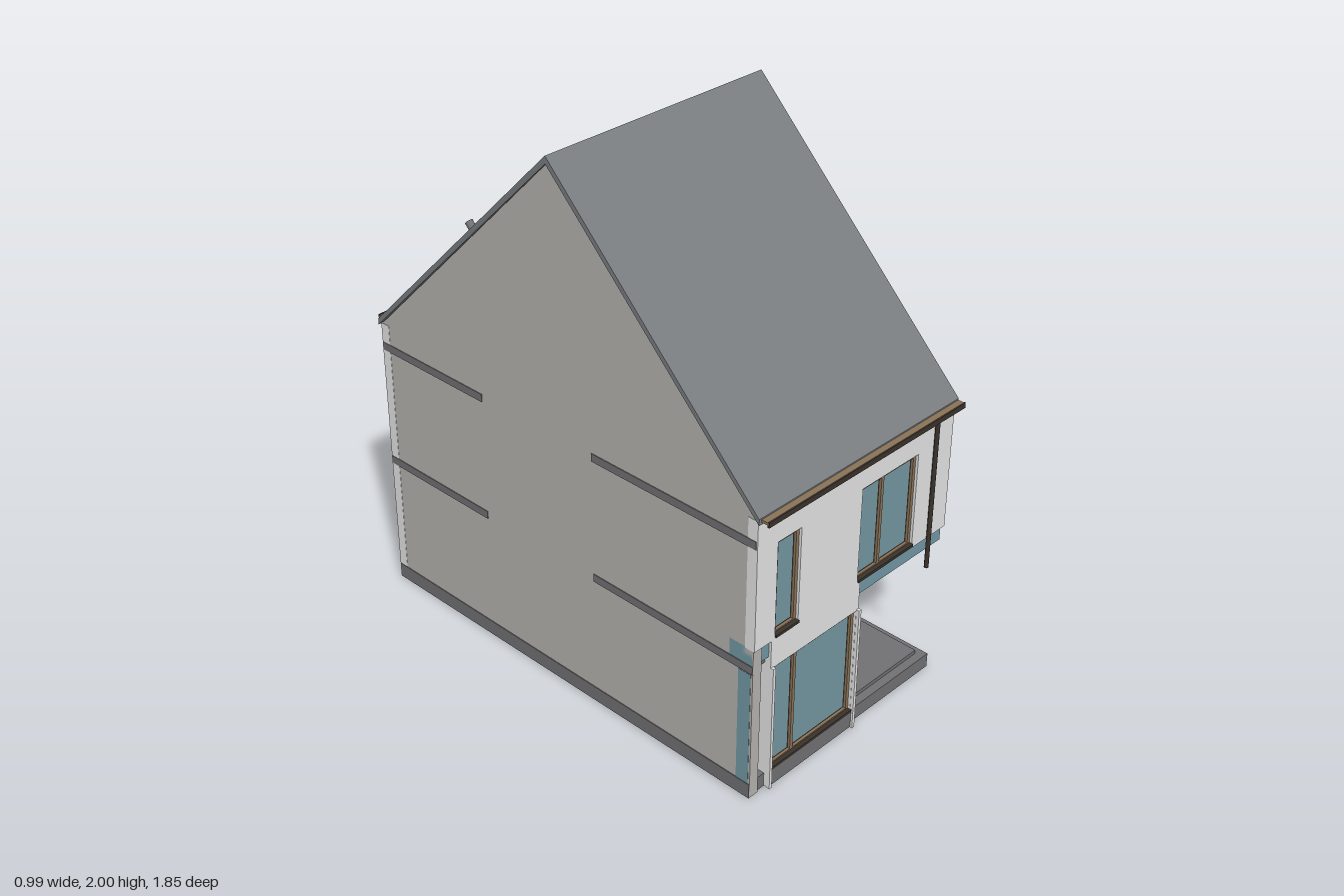
import * as THREE from 'three';

const mat = (name, color, side = THREE.FrontSide) => {
  const m = new THREE.MeshStandardMaterial({ color, side });
  m.name = name;
  return m;
};

export function createModel() {
  const M = {
    white: mat('white render', 0xe4e4e4),
    concrete: mat('pale concrete', 0xb5b3ae),
    slab: mat('slab grey', 0x717173),
    roof: mat('roof grey', 0x797d80),
    teal: mat('blue grey panel', 0x7297a4),
    glass: mat('window glass', 0x7396a1),
    brown: mat('bronze frame', 0x8a7358),
    dark: mat('dark trim', 0x3a322b),
    skylight: mat('skylight glass', 0x36413f),
  };
  const house = new THREE.Group();
  house.name = 'house';

  const add = (parent, name, geo, material) => {
    const m = new THREE.Mesh(geo, material);
    m.name = name;
    parent.add(m);
    return m;
  };
  // box given by its limits on each axis
  const box = (parent, name, material, x0, x1, y0, y1, z0, z1) => {
    const m = add(parent, name, new THREE.BoxGeometry(x1 - x0, y1 - y0, z1 - z0), material);
    m.position.set((x0 + x1) / 2, (y0 + y1) / 2, (z0 + z1) / 2);
    return m;
  };
  const poly = (pts) => new THREE.Shape(pts.map((p) => new THREE.Vector2(p[0], p[1])));
  const rect = (a, b, c, d) => [[a, c], [b, c], [b, d], [a, d]];

  // frame, glass, sill and optional mullion, set back in a wall opening
  const windowUnit = (parent, [a, b, c, d, split]) => {
    const g = new THREE.Group();
    g.name = 'window';
    parent.add(g);
    const t = 0.013;
    const frame = poly(rect(a, b, c, d));
    const edges = split === undefined ? [a, b] : [a, split, b];
    for (let i = 0; i + 1 < edges.length; i++) {
      const l = edges[i] + (i ? t / 2 : t);
      const r = edges[i + 1] - (i + 2 < edges.length ? t / 2 : t);
      frame.holes.push(poly(rect(l, r, c + t, d - t)));
      // slim dark casement line inside the frame
      const sash = poly(rect(l, r, c + t, d - t));
      sash.holes.push(poly(rect(l + 0.004, r - 0.004, c + t + 0.004, d - t - 0.004)));
      add(g, 'casementLine', new THREE.ShapeGeometry(sash), M.dark).position.z = -0.02;
    }
    const f = add(g, 'windowFrame', new THREE.ExtrudeGeometry(frame, { depth: 0.02, bevelEnabled: false }), M.brown);
    f.position.z = -0.03;
    box(g, 'windowGlass', M.glass, a + 0.004, b - 0.004, c + 0.004, d - 0.004, -0.03, -0.022);
    box(g, 'windowSill', M.dark, a, b, c - 0.002, c + 0.008, -0.03, 0.006);
  };

  // wall in its own plane: outward is local +z, with windows let in
  const T = 0.04;
  const facade = (name, angle, pos, outline, windows, material) => {
    const g = new THREE.Group();
    g.name = name;
    const s = poly(outline);
    windows.forEach((w) => s.holes.push(poly(rect(w[0], w[1], w[2], w[3]))));
    const geo = new THREE.ExtrudeGeometry(s, { depth: T, bevelEnabled: false });
    add(g, name + 'Surface', geo, material).position.z = -T;
    windows.forEach((w) => { if (!w[5]) windowUnit(g, w); });
    g.rotation.y = angle;
    g.position.set(...pos);
    house.add(g);
    return g;
  };

  // front wall, narrower at ground level
  const front = facade('frontWall', 0, [0, 0, 0.885],
    [[-0.41, 0.003], [0.025, 0.003], [0.025, 0.6], [0.475, 0.6], [0.475, 1.09], [-0.49, 1.09], [-0.49, 0.6], [-0.41, 0.6]],
    [[-0.395, -0.285, 0.61, 0.97], [0.01, 0.295, 0.61, 0.97, 0.125], [-0.395, 0.013, 0.07, 0.49, -0.28]], M.white);
  box(front, 'frontPlinth', M.slab, -0.4, 0.015, 0.003, 0.066, -0.01, 0.004);
  for (const x of [-0.41, 0.014]) box(front, 'frontFin', M.white, x, x + 0.012, 0, 0.495, 0, 0.012);

  // right wall with the open corner cut away
  const right = facade('rightWall', Math.PI / 2, [0.475, 0, 0],
    [[-0.885, 0.6], [-0.27, 0.6], [-0.27, 0.003], [0.885, 0.003], [0.885, 1.09], [0, 1.975], [-0.885, 1.09]],
    [[-0.61, -0.33, 0.61, 0.97, -0.44], [0.155, 0.27, 1.09, 1.455], [0.44, 0.61, 0.07, 0.49]], M.white);
  box(right, 'rightPlinth', M.concrete, 0.44, 0.61, 0.003, 0.066, -0.01, 0.003);
  for (let i = 0; i < 5; i++) {
    const u = 0.275 + i * 0.037;
    box(right, 'rightFin', M.white, u, u + 0.012, 0.003, 0.495, 0, 0.016);
  }
  box(right, 'wallVent', M.brown, 0.375, 0.43, 1.422, 1.452, 0, 0.016);
  box(right, 'wallVentSlot', M.dark, 0.38, 0.425, 1.427, 1.437, 0.01, 0.018);

  // back wall with entrance
  const back = facade('backWall', Math.PI, [0, 0, -0.885],
    [[-0.475, 0.003], [0.49, 0.003], [0.49, 1.09], [-0.475, 1.09]],
    [[-0.335, -0.087, 0.61, 0.97, -0.2], [0.187, 0.27, 0.61, 0.97], [-0.335, -0.07, 0.07, 0.49], [0.09, 0.27, 0.01, 0.5, 0, true]], M.white);
  box(back, 'backPlinth', M.concrete, -0.335, -0.07, 0.003, 0.066, -0.01, 0.003);
  box(back, 'louvrePanel', M.concrete, -0.085, 0.185, 0.61, 0.97, 0, 0.004);
  for (let i = 0; i < 7; i++) {
    const u = -0.078 + i * 0.04;
    box(back, 'louvreFin', M.white, u, u + 0.014, 0.61, 0.97, 0, 0.016);
  }
  box(back, 'doorLeaf', M.concrete, 0.09, 0.27, 0.01, 0.5, -0.09, -0.06);
  box(back, 'doorHead', M.dark, 0.09, 0.27, 0.485, 0.5, -0.07, 0);
  for (const u of [0.09, 0.262]) box(back, 'doorJamb', M.dark, u, u + 0.008, 0.01, 0.49, -0.07, -0.005);
  box(back, 'doorReveal', M.white, 0.082, 0.09, 0.01, 0.5, -0.07, -0.03);
  box(back, 'doorReveal', M.white, 0.27, 0.278, 0.01, 0.5, -0.07, -0.03);
  box(back, 'doorHandle', M.dark, 0.238, 0.246, 0.2, 0.29, -0.06, -0.045);
  box(back, 'doorStep', M.slab, 0.09, 0.27, 0.003, 0.03, -0.06, 0.003);
  box(back, 'wallLamp', M.dark, 0.04, 0.06, 0.37, 0.41, 0, 0.03);

  // plain party wall with exposed slab edges
  const left = facade('partyWall', -Math.PI / 2, [-0.489, 0, 0],
    [[-0.88, 0.003], [0.88, 0.003], [0.88, 1.09], [0, 1.972], [-0.88, 1.09]], [], M.concrete);
  box(left, 'baseEdge', M.slab, -0.88, 0.88, 0.003, 0.06, 0, 0.003);
  for (const y of [0.51, 0.985]) {
    box(left, 'slabEdge', M.slab, -0.88, -0.36, y, y + 0.03, 0, 0.003);
    box(left, 'slabEdge', M.slab, 0.17, 0.88, y, y + 0.03, 0, 0.003);
  }

  // ground slab and open corner terrace
  box(house, 'groundSlab', M.slab, -0.485, 0.47, 0, 0.03, -0.88, 0.27);
  box(house, 'groundSlab', M.slab, -0.485, 0.46, 0, 0.055, 0.27, 0.872);
  box(house, 'terraceFloor', M.slab, 0.02, 0.43, 0.05, 0.07, 0.27, 0.84);
  facade('terraceBackWall', 0, [0, 0, 0.27],
    rect(0.02, 0.437, 0.05, 0.6), [[0.06, 0.35, 0.072, 0.5]], M.concrete);
  box(house, 'terraceSideWall', M.concrete, 0, 0.026, 0.05, 0.6, 0.25, 0.84);
  box(house, 'terracePost', M.teal, 0.43, 0.455, 0.02, 0.6, 0.23, 0.273);
  box(house, 'terracePost', M.teal, 0, 0.03, 0.02, 0.6, 0.84, 0.868);
  box(house, 'terraceWallEnd', M.white, 0.45, 0.475, 0.003, 0.6, 0.23, 0.27);
  box(house, 'overhangBand', M.teal, 0.026, 0.472, 0.54, 0.604, 0.262, 0.872);
  box(house, 'overhangSoffit', M.slab, 0.026, 0.45, 0.505, 0.54, 0.262, 0.84);

  // narrow slot beside the party wall
  box(house, 'slotBand', M.teal, -0.489, -0.408, 0.535, 0.604, 0.78, 0.875);
  box(house, 'slotSoffit', M.slab, -0.486, -0.41, 0.505, 0.535, 0.78, 0.86);
  box(house, 'slotPanel', M.white, -0.485, -0.41, 0.055, 0.505, 0.78, 0.82);
  box(house, 'slotTrim', M.teal, -0.49, -0.478, 0.06, 0.505, 0.82, 0.872);
  for (let i = 0; i < 10; i++) {
    const y = 0.15 + i * 0.031;
    box(house, 'slotLine', M.slab, -0.472, -0.412, y, y + 0.003, 0.82, 0.823);
  }
  box(house, 'slotEdge', M.dark, -0.475, -0.47, 0.155, 0.43, 0.82, 0.826);
  for (const [y, a] of [[0.137, -0.6], [0.446, 0.6]]) {
    const e = box(house, 'slotEdge', M.dark, -0.479, -0.405, y - 0.003, y + 0.003, 0.82, 0.826);
    e.rotation.z = a;
  }

  // pitched roof
  const roofShape = poly([[-0.893, 1.105], [-0.893, 1.082], [0, 1.973], [0.893, 1.082], [0.893, 1.105], [0, 2]]);
  const roofGeo = new THREE.ExtrudeGeometry(roofShape, { depth: 0.978, bevelEnabled: false });
  roofGeo.rotateY(-Math.PI / 2);
  add(house, 'roof', roofGeo, M.roof).position.x = 0.482;

  // gutters and downpipes
  for (const s of [1, -1]) {
    const zs = s > 0 ? [0.885, 0.92] : [-0.925, -0.885];
    const x0 = s > 0 ? -0.485 : -0.47;
    box(house, 'gutter', M.brown, x0, 0.48, 1.09, 1.1, zs[0], zs[1]);
    const z = s * 0.92;
    box(house, 'gutterLip', M.dark, x0, 0.48, 1.082, 1.102, z - 0.003, z + 0.003);
    const y0 = s > 0 ? 0.49 : 0;
    const pipe = add(house, 'downpipe', new THREE.CylinderGeometry(0.008, 0.008, 1.09 - y0, 10), M.dark);
    pipe.position.set(s > 0 ? 0.37 : 0.42, (1.09 + y0) / 2, s * 0.898);
  }

  // skylight and roof vent on the back slope
  const slope = new THREE.Group();
  slope.name = 'backSlopeFittings';
  slope.position.set(-0.052, 1.36, -0.642);
  slope.rotation.x = -Math.PI / 4;
  house.add(slope);
  box(slope, 'skylightFrame', M.dark, -0.113, 0.113, -0.01, 0.017, -0.122, 0.122);
  box(slope, 'skylightPane', M.skylight, -0.108, 0.108, 0.015, 0.02, -0.117, 0.117);
  const vent = add(house, 'roofVent', new THREE.CylinderGeometry(0.014, 0.014, 0.04, 12), M.slab);
  vent.position.set(-0.458, 1.615, -0.403);
  vent.rotation.x = -Math.PI / 4;

  return house;
}
